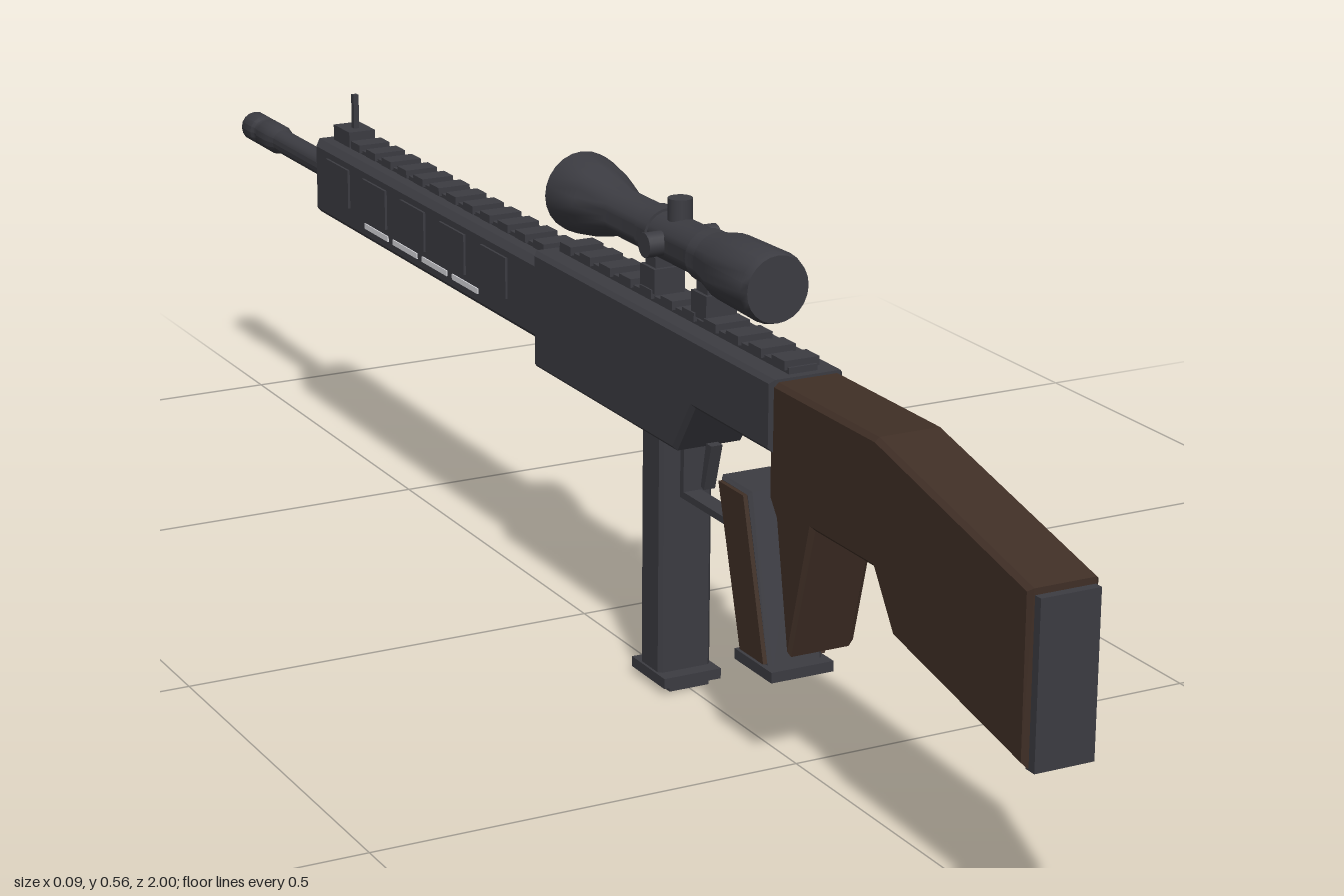
import * as THREE from 'three';
import { toCreasedNormals } from 'three/addons/utils/BufferGeometryUtils.js';

const mat = (name, color) => {
  const m = new THREE.MeshStandardMaterial({ color });
  m.name = name;
  return m;
};

export function createModel() {
  const model = new THREE.Group();
  const metal = mat('dark metal', 0x3c3c42);
  const wood = mat('dark brown', 0x402f26);
  const glass = mat('lens grey', 0xa0a0a8);
  const slot = mat('slot light grey', 0xdcdce0);

  const add = (name, geometry, material, parent = model) => {
    const mesh = new THREE.Mesh(geometry, material);
    mesh.name = name;
    parent.add(mesh);
    return mesh;
  };
  const group = (name) => {
    const g = new THREE.Group();
    g.name = name;
    model.add(g);
    return g;
  };
  // box given by its ranges: width about x, then y and z ranges
  const box = (name, w, y0, y1, z0, z1, material = metal, parent = model, x = 0) => {
    const m = add(name, new THREE.BoxGeometry(w, y1 - y0, z1 - z0), material, parent);
    m.position.set(x, (y0 + y1) / 2, (z0 + z1) / 2);
    return m;
  };
  // side profile of [z, y] points extruded across x, with chamfered edges
  const profile = (name, pts, w, material, bevel = 0.005, x = 0, parent = model) => {
    const shape = new THREE.Shape(pts.map(([z, y]) => new THREE.Vector2(z, y)));
    const depth = w - 2 * bevel;
    const g = new THREE.ExtrudeGeometry(shape, {
      depth, bevelEnabled: bevel > 0, bevelThickness: bevel,
      bevelSize: bevel, bevelOffset: -bevel, bevelSegments: 1,
    });
    g.translate(0, 0, -depth / 2);
    g.rotateY(-Math.PI / 2);
    g.translate(x, 0, 0);
    return add(name, g, material, parent);
  };
  // turned part along z from [radius, z] points, z increasing
  const turned = (name, pts, y, parent = model, sides = 24) => {
    const g = new THREE.LatheGeometry(pts.map(([r, z]) => new THREE.Vector2(r, z)), sides);
    g.rotateX(Math.PI / 2);
    const m = add(name, toCreasedNormals(g, 0.6), metal, parent);
    m.position.y = y;
    return m;
  };

  // Stock and butt plate
  profile('stock', [[0.99, 0.19], [0.99, 0.372], [0.71, 0.437], [0.5, 0.437], [0.5, 0.31],
    [0.515, 0.29], [0.545, 0.145], [0.59, 0.3], [0.71, 0.3], [0.75, 0.24]], 0.08, wood);
  box('buttPlate', 0.068, 0.188, 0.365, 0.985, 1);

  // Receiver
  profile('receiver', [[0.51, 0.36], [0.51, 0.44], [-0.045, 0.44], [-0.045, 0.3],
    [0.3, 0.3], [0.34, 0.36]], 0.088, metal);

  // Handguard with side panels and vent slots
  profile('handguard', [[-0.04, 0.33], [-0.04, 0.428], [-0.695, 0.428], [-0.695, 0.33]], 0.08, metal, 0.008);
  const panels = group('handguardPanels');
  for (const s of [-1, 1]) {
    for (let i = 0; i < 5; i++) {
      const z = -0.12 - i * 0.115;
      box('sidePanel', 0.004, 0.362, 0.412, z - 0.07, z, metal, panels, s * 0.041);
    }
    for (let i = 0; i < 4; i++) {
      const z = -0.2 - i * 0.087;
      box('ventSlot', 0.002, 0.347, 0.354, z - 0.072, z, slot, panels, s * 0.0405);
    }
  }

  // Top rails with raised slats
  const rail = group('topRail');
  box('receiverRail', 0.034, 0.438, 0.447, -0.03, 0.5, metal, rail);
  box('handguardRail', 0.034, 0.426, 0.433, -0.62, -0.05, metal, rail);
  for (let i = 0; i < 11; i++) box('receiverSlat', 0.042, 0.444, 0.454, -0.02 + i * 0.049, 0.007 + i * 0.049, metal, rail);
  for (let i = 0; i < 12; i++) box('handguardSlat', 0.042, 0.43, 0.44, -0.09 - i * 0.048, -0.063 - i * 0.048, metal, rail);

  // Barrel and muzzle brake
  turned('barrel', [[0, -0.92], [0.016, -0.92], [0.016, -0.68], [0, -0.68]], 0.375, model, 16);
  turned('muzzleBrake', [[0, -0.96], [0.011, -0.96], [0.011, -1], [0.018, -1], [0.02, -0.995],
    [0.02, -0.965], [0.017, -0.96], [0.017, -0.95], [0.02, -0.945], [0.02, -0.91], [0.016, -0.895]], 0.375, model, 16);

  // Front sight
  const sight = group('frontSight');
  box('sightBase', 0.036, 0.425, 0.448, -0.68, -0.63, metal, sight);
  box('sightPost', 0.007, 0.44, 0.492, -0.655, -0.647, metal, sight);

  // Scope with mounts and turrets
  const scope = group('scope');
  turned('scopeTube', [[0, -0.003], [0.043, -0.003], [0.047, -0.006], [0.047, 0.006], [0.04, 0.05], [0.027, 0.1],
    [0.027, 0.3], [0.038, 0.35], [0.04, 0.435], [0.037, 0.445], [0, 0.445]], 0.515, scope);
  const lens = add('frontLens', new THREE.CylinderGeometry(0.044, 0.044, 0.004, 24), glass, scope);
  lens.rotation.x = Math.PI / 2;
  lens.position.set(0, 0.515, -0.005);
  for (const [i, angle] of [0, Math.PI / 2, -Math.PI / 2].entries()) {
    const t = add(i ? 'sideTurret' : 'topTurret', new THREE.CylinderGeometry(0.014, 0.014, 0.025, 16), metal, scope);
    t.rotation.z = angle;
    t.position.set(-Math.sin(angle) * 0.032, 0.515 + Math.cos(angle) * 0.036, 0.23);
  }
  for (const z of [0.308, 0.19]) {
    box('mountFoot', 0.038, 0.45, 0.478, z - 0.017, z + 0.017, metal, scope);
    box('mountPost', 0.03, 0.47, 0.5, z - 0.012, z + 0.012, metal, scope);
    turned('mountRing', [[0.026, z - 0.012], [0.03, z - 0.012], [0.03, z + 0.012], [0.026, z + 0.012]], 0.515, scope);
  }

  // Pistol grip: metal core, brown side panels, foot
  const grip = group('grip');
  const gripShape = [[0.448, 0.297], [0.384, 0.297], [0.438, 0.113], [0.497, 0.113]];
  profile('gripCore', gripShape, 0.066, metal, 0.004, 0, grip);
  const panelShape = [[0.444, 0.293], [0.39, 0.293], [0.441, 0.118], [0.492, 0.118]];
  for (const s of [-1, 1]) profile('gripPanel', panelShape, 0.006, wood, 0, s * 0.035, grip);
  box('gripFoot', 0.076, 0.103, 0.115, 0.43, 0.51, metal, grip);

  // Trigger and guard
  const trigger = group('triggerGroup');
  box('guardBar', 0.022, 0.228, 0.236, 0.255, 0.385, metal, trigger);
  box('guardFront', 0.022, 0.232, 0.305, 0.255, 0.263, metal, trigger);
  profile('trigger', [[0.318, 0.305], [0.306, 0.305], [0.295, 0.252], [0.302, 0.25]], 0.014, metal, 0, 0, trigger);

  // Magazine
  const magazine = group('magazine');
  profile('magazineBody', [[0.25, 0.015], [0.25, 0.31], [0.204, 0.31], [0.204, 0.015]], 0.066, metal, 0.004, 0, magazine);
  box('magazineFoot', 0.072, 0.008, 0.02, 0.19, 0.268, metal, magazine);
  box('magazineTip', 0.05, 0, 0.012, 0.198, 0.26, metal, magazine);

  return model;
}
